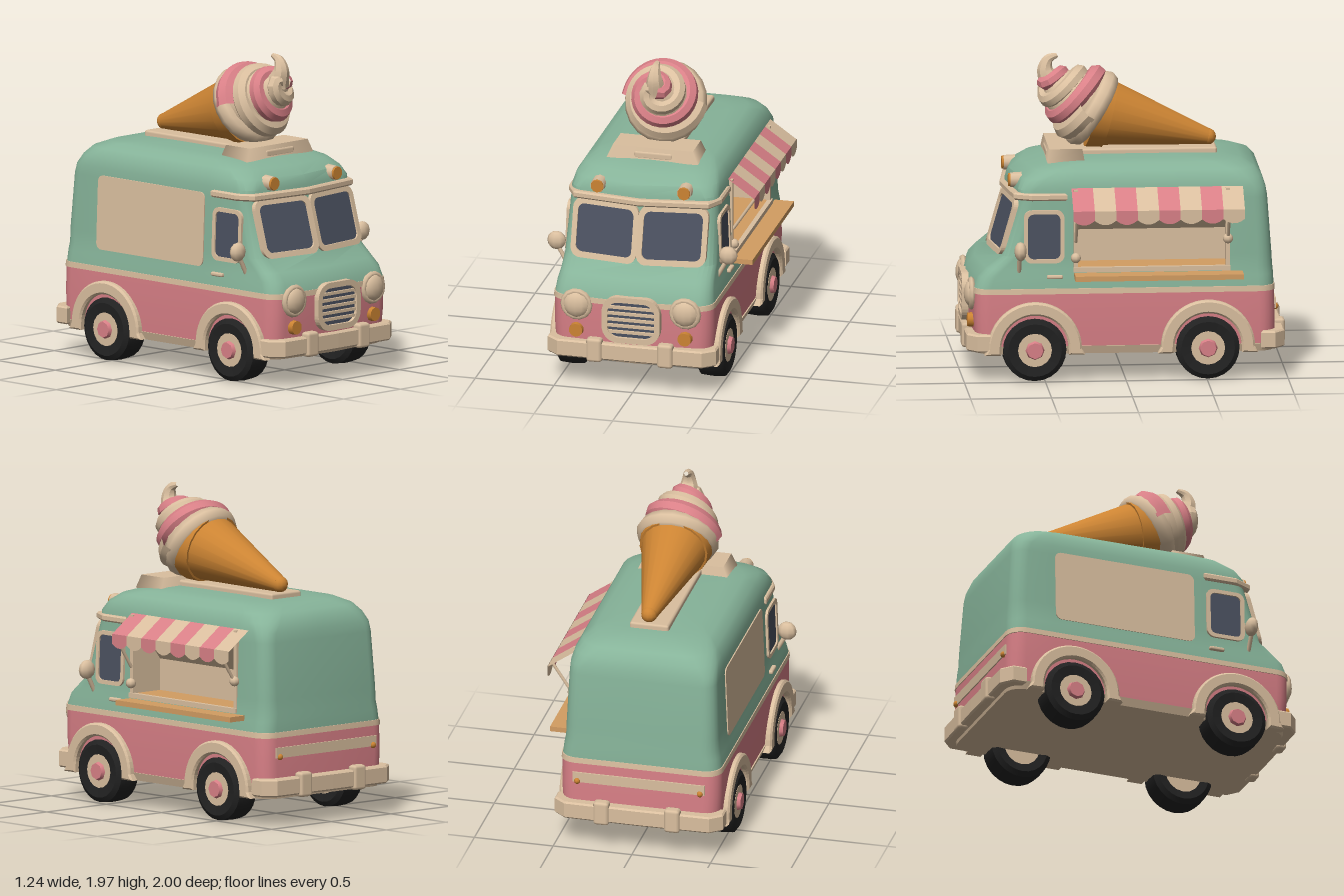
import * as THREE from 'three';
import { toCreasedNormals } from 'three/addons/utils/BufferGeometryUtils.js';
import { RoundedBoxGeometry } from 'three/addons/geometries/RoundedBoxGeometry.js';

const mat = (name, color, side = THREE.FrontSide) => {
  const m = new THREE.MeshStandardMaterial({ color, side });
  m.name = name;
  return m;
};
const mint = mat('mint', 0x86b399), pink = mat('pink', 0xd98087), cream = mat('cream', 0xdabf9f);
const orange = mat('orange', 0xcc8433), wood = mat('wood', 0xd39d62), black = mat('black', 0x222222);
const glass = mat('glass', 0x4b5160);
const creamCloth = mat('creamCloth', 0xdabf9f, THREE.DoubleSide), pinkCloth = mat('pinkCloth', 0xd98087, THREE.DoubleSide);

function add(parent, name, geo, material, x = 0, y = 0, z = 0) {
  const m = new THREE.Mesh(geo, material);
  m.name = name;
  m.position.set(x, y, z);
  parent.add(m);
  return m;
}

// Horizontal outline of the body: slightly pointed nose, round corners, breaks at the hatch edges
const HATCH = { z0: -0.63, z1: 0.31, y0: 0.7, y1: 1.19 };
function outline([y, hw, zb, zf, r, bulge]) {
  const half = [];
  for (let i = 0; i <= 5; i++) {
    const a = Math.PI / 2 * (1 - i / 5);
    half.push([hw - r + r * Math.cos(a), zf - bulge - r + r * Math.sin(a)]);
  }
  for (const z of [HATCH.z1, HATCH.z0]) half.push([hw, THREE.MathUtils.clamp(z, zb + r, zf - bulge - r)]);
  for (let i = 0; i <= 5; i++) {
    const a = -Math.PI / 2 * i / 5;
    half.push([hw - r + r * Math.cos(a), zb + r + r * Math.sin(a)]);
  }
  const loop = [[0, zf], ...half, [0, zb], ...half.slice().reverse().map(([x, z]) => [-x, z])];
  return loop.map(([x, z]) => [x, y, z]);
}

function loft(rows, capBottom, capTop, hatch) {
  const loops = rows.map(outline), pos = [], n = loops[0].length;
  for (let k = 0; k + 1 < rows.length; k++) for (let i = 0; i < n; i++) {
    const inHatch = hatch && i === 7 && rows[k][0] >= HATCH.y0 && rows[k + 1][0] <= HATCH.y1;
    if (inHatch) continue;
    const j = (i + 1) % n, a = loops[k][i], b = loops[k][j], c = loops[k + 1][j], d = loops[k + 1][i];
    pos.push(...a, ...b, ...c, ...a, ...c, ...d);
  }
  const cap = (loop, up) => loop.forEach((p, i) => {
    const q = loop[(i + 1) % n], c = [0, p[1] + (up ? 0.008 : 0), (loop[0][2] + loop[14 + 1][2]) / 2];
    pos.push(...c, ...(up ? p : q), ...(up ? q : p));
  });
  if (capBottom) cap(loops[0], false);
  if (capTop) cap(loops[loops.length - 1], true);
  const g = new THREE.BufferGeometry();
  g.setAttribute('position', new THREE.Float32BufferAttribute(pos, 3));
  return toCreasedNormals(g, 0.6);
}

function roundRect(w, h, r, cx = 0, cy = 0, Kind = THREE.Shape) {
  const s = new Kind(), x = w / 2 - r, y = h / 2 - r;
  s.absarc(cx + x, cy + y, r, 0, Math.PI / 2);
  s.absarc(cx - x, cy + y, r, Math.PI / 2, Math.PI);
  s.absarc(cx - x, cy - y, r, Math.PI, Math.PI * 1.5);
  s.absarc(cx + x, cy - y, r, Math.PI * 1.5, Math.PI * 2);
  s.closePath();
  return s;
}

// Plate or frame in the xy plane, pushed in z by a rule
function plate(shape, depth, rule = () => 0) {
  const g = new THREE.ExtrudeGeometry(shape, { depth, bevelEnabled: false, curveSegments: 4 }), p = g.attributes.position;
  for (let i = 0; i < p.count; i++) p.setZ(i, p.getZ(i) + rule(p.getX(i), p.getY(i)));
  g.computeVertexNormals();
  return g;
}
function frame(w, h, r, t, cx = 0, cy = 0) {
  const s = roundRect(w, h, r, cx, cy);
  s.holes.push(roundRect(w - 2 * t, h - 2 * t, r * 0.7, cx, cy, THREE.Path));
  return s;
}

// Horizontal bar wrapped round the nose or tail, from one half of its plan
function wrapBar(outer, inner, height) {
  const half = [...outer, ...inner], mirrored = pts => pts.slice().reverse().map(([x, z]) => [-x, z]);
  const k = outer.length;
  const pts = [...half.slice(0, k), ...mirrored(outer), ...mirrored(inner), ...inner];
  const s = new THREE.Shape(pts.map(([x, z]) => new THREE.Vector2(x, z)));
  const g = new THREE.ExtrudeGeometry(s, { depth: height - 0.02, bevelThickness: 0.01, bevelSize: 0.01, bevelOffset: -0.01, bevelSegments: 1 });
  return g.rotateX(Math.PI / 2).translate(0, height / 2 - 0.01, 0);
}

function rod(parent, name, a, b, r, material, r2 = r, sides = 8) {
  const A = new THREE.Vector3(...a), B = new THREE.Vector3(...b), d = B.clone().sub(A);
  const m = add(parent, name, new THREE.CylinderGeometry(r2, r, d.length(), sides), material);
  m.position.copy(A).add(B).multiplyScalar(0.5);
  m.quaternion.setFromUnitVectors(new THREE.Vector3(0, 1, 0), d.normalize());
  return m;
}

// Tapering rope along a curve
function taperTube(points, r0, r1) {
  const curve = new THREE.CatmullRomCurve3(points), N = 44, S = 8;
  const g = new THREE.TubeGeometry(curve, N, 1, S), p = g.attributes.position, v = new THREE.Vector3();
  for (let i = 0; i <= N; i++) {
    const c = curve.getPointAt(i / N), r = r0 + (r1 - r0) * i / N;
    for (let j = 0; j <= S; j++) {
      const k = i * (S + 1) + j;
      v.fromBufferAttribute(p, k).sub(c).multiplyScalar(r).add(c);
      p.setXYZ(k, v.x, v.y, v.z);
    }
  }
  return toCreasedNormals(g, 0.5);
}

function buildBody(van) {
  add(van, 'skirt', loft([[0.17, 0.49, -0.92, 0.94, 0.1, 0.03], [0.22, 0.507, -0.93, 0.958, 0.1, 0.03]], true, true), cream);
  add(van, 'lowerBody', loft([[0.2, 0.498, -0.925, 0.95, 0.1, 0.03], [0.4, 0.508, -0.925, 0.965, 0.1, 0.03], [0.55, 0.507, -0.92, 0.965, 0.1, 0.03]]), pink);
  add(van, 'waistStripe', loft([[0.548, 0.512, -0.925, 0.97, 0.1, 0.03], [0.582, 0.51, -0.922, 0.968, 0.1, 0.03]], true, true), cream);
  add(van, 'upperBody', loft([
    [0.58, 0.505, -0.918, 0.965, 0.1, 0.03], [0.65, 0.496, -0.915, 0.945, 0.1, 0.035], [0.7, 0.487, -0.91, 0.9, 0.1, 0.04],
    [0.78, 0.483, -0.905, 0.812, 0.09, 0.05], [1.13, 0.469, -0.88, 0.712, 0.09, 0.05], [1.19, 0.466, -0.87, 0.715, 0.1, 0.05],
    [1.25, 0.452, -0.85, 0.69, 0.14, 0.05], [1.3, 0.42, -0.81, 0.62, 0.16, 0.05], [1.335, 0.36, -0.73, 0.5, 0.18, 0.04],
    [1.35, 0.27, -0.6, 0.36, 0.18, 0.02]], false, true, true), mint);
  add(van, 'brow', wrapBar([[0.487, 0.36], [0.487, 0.58], [0.43, 0.69], [0, 0.745]], [[0.44, 0.36], [0.44, 0.55], [0.4, 0.62], [0, 0.68]], 0.045), cream, 0, 1.15, 0);

  // Bumpers with overriders
  for (const [name, turn] of [['frontBumper', 0], ['rearBumper', Math.PI]]) {
    const g = new THREE.Group();
    g.name = name;
    g.rotation.y = turn;
    add(g, 'bar', wrapBar([[0.535, 0.83], [0.535, 0.92], [0.46, 0.982], [0, 0.988]], [[0.48, 0.83], [0.47, 0.9], [0.42, 0.93], [0, 0.94]], 0.11), cream, 0, 0.245, 0);
    for (const s of [-1, 1]) add(g, 'overrider', new RoundedBoxGeometry(0.1, 0.155, 0.07, 1, 0.02), cream, s * 0.225, 0.25, 0.965);
    van.add(g);
  }

  // Grille
  add(van, 'grilleBacking', plate(roundRect(0.33, 0.26, 0.08), 0.03), glass, 0.01, 0.465, 0.94);
  add(van, 'grilleFrame', plate(frame(0.37, 0.3, 0.1, 0.035), 0.05), cream, 0.01, 0.465, 0.94);
  for (let i = -2; i <= 2; i++) add(van, 'grilleBar', new THREE.BoxGeometry(0.3, 0.018, 0.02), cream, 0.01, 0.465 + i * 0.04, 0.975);

  // Windscreen halves
  const slope = (x, y) => 0.812 - (y - 0.78) * 0.286 - 0.05 * Math.abs(x) / 0.385;
  for (const s of [-1, 1]) {
    add(van, 'windscreenFrame', plate(frame(0.43, 0.355, 0.06, 0.033, s * 0.215, 0.955), 0.03, slope), cream, 0, 0, -0.008);
    add(van, 'windscreenGlass', plate(roundRect(0.38, 0.31, 0.05, s * 0.215, 0.955), 0.008, slope), glass, 0, 0, 0.003);
  }

  for (const s of [-1, 1]) {
    const lean = (x, y) => -0.04 * y;
    const side = (name, shape, depth, material, x, y, z) => {
      add(van, name, plate(shape, depth, lean), material, s * x, y, z).rotation.y = s * Math.PI / 2;
    };
    side('cabWindowFrame', frame(0.25, 0.33, 0.05, 0.025), 0.025, cream, 0.468, 0.905, 0.505);
    side('cabWindowGlass', roundRect(0.22, 0.3, 0.04), 0.009, glass, 0.474, 0.905, 0.505);
    if (s < 0) side('sidePanel', roundRect(0.92, 0.46, 0.04), 0.008, cream, 0.477, 0.915, -0.16);
    add(van, 'doorHandle', new RoundedBoxGeometry(0.03, 0.025, 0.1, 1, 0.01), cream, s * 0.505, 0.655, 0.44);

    // Lamps
    const head = add(van, 'headlamp', new THREE.SphereGeometry(0.085, 12, 8), cream, s * 0.345, 0.53, 0.945);
    head.scale.z = 0.55;
    add(van, 'headlampRim', new THREE.TorusGeometry(0.083, 0.02, 6, 14), cream, s * 0.345, 0.53, 0.945);
    const lamp = (name, r, d, x, y, z, m) => { add(van, name, new THREE.CylinderGeometry(r, r * 1.08, d, 10), m, s * x, y, z).rotation.x = Math.PI / 2; };
    lamp('turnSignal', 0.043, 0.05, 0.345, 0.365, 0.945, orange);
    lamp('roofLampHousing', 0.045, 0.07, 0.275, 1.225, 0.665, cream);
    lamp('roofLamp', 0.04, 0.02, 0.275, 1.225, 0.702, orange);
    add(van, 'tailLamp', new THREE.SphereGeometry(0.02, 8, 6), orange, s * 0.39, 0.43, -0.93);

    // Mirrors
    rod(van, 'mirrorArm', [s * 0.475, 0.68, 0.66], [s * 0.54, 0.8, 0.66], 0.014, cream);
    add(van, 'mirror', new THREE.SphereGeometry(0.06, 9, 6), cream, s * 0.545, 0.825, 0.655).scale.z = 0.65;
  }
  add(van, 'rearPlate', new THREE.BoxGeometry(0.84, 0.065, 0.012), cream, 0, 0.455, -0.926);
}

function buildWheels(van) {
  const profile = [[0.1, -0.08], [0.165, -0.09], [0.195, -0.07], [0.2, 0], [0.195, 0.07], [0.165, 0.09], [0.1, 0.08]];
  const tyre = toCreasedNormals(new THREE.LatheGeometry(profile.map(p => new THREE.Vector2(...p)), 24), 0.5);
  const arch = new THREE.Shape();
  arch.absarc(0, 0.01, 0.29, 0, Math.PI);
  arch.lineTo(-0.31, -0.03);
  arch.lineTo(-0.21, -0.03);
  arch.absarc(0, 0.01, 0.208, Math.PI, 0, true);
  arch.lineTo(0.21, -0.03);
  arch.lineTo(0.31, -0.03);
  const archGeo = new THREE.ExtrudeGeometry(arch, { depth: 0.045, bevelThickness: 0.012, bevelSize: 0.012, bevelOffset: -0.012, bevelSegments: 1, curveSegments: 12 });
  for (const s of [-1, 1]) for (const z of [0.565, -0.505]) {
    const g = new THREE.Group();
    g.name = 'wheel';
    g.position.set(s * 0.447, 0.2, z);
    g.rotation.z = -s * Math.PI / 2;
    add(g, 'tyre', tyre, black);
    add(g, 'rim', new THREE.CylinderGeometry(0.105, 0.115, 0.165, 16), cream);
    add(g, 'hubCap', new THREE.CylinderGeometry(0.05, 0.062, 0.03, 8), pink, 0, 0.09, 0);
    van.add(g);
    add(van, 'wheelArch', archGeo, cream, s * 0.485, 0.2, z).rotation.y = s * Math.PI / 2;
  }
}

function buildHatch(van) {
  // Recess with a sloping ceiling
  const len = HATCH.z1 - HATCH.z0, mid = (HATCH.z0 + HATCH.z1) / 2;
  add(van, 'hatchFloor', new THREE.BoxGeometry(0.25, 0.02, len), wood, 0.36, 0.695, mid);
  add(van, 'hatchBackWall', new THREE.BoxGeometry(0.02, 0.22, len), cream, 0.24, 0.8, mid);
  const slope = Math.hypot(0.225, 0.29);
  add(van, 'hatchCeiling', new THREE.BoxGeometry(slope, 0.01, len), cream, 0.355, 1.045, mid).rotation.z = Math.atan2(0.29, 0.225);
  const end = new THREE.Shape([[0.24, 0.69], [0.482, 0.69], [0.466, 1.19], [0.24, 0.9]].map(p => new THREE.Vector2(...p)));
  for (const z of [HATCH.z0, HATCH.z1]) {
    add(van, 'hatchEnd', new THREE.ShapeGeometry(end), creamCloth, 0, 0, z);
    add(van, 'hatchPost', new THREE.BoxGeometry(0.025, 0.5, 0.025), cream, 0.477, 0.945, z);
    add(van, 'strutKnob', new THREE.SphereGeometry(0.032, 8, 6), cream, 0.495, z > 0 ? 0.77 : 0.88, z);
    rod(van, 'awningStrut', [0.49, 0.87, z], [0.622, 1.07, z], 0.01, cream);
  }
  add(van, 'hatchSill', new THREE.BoxGeometry(0.03, 0.03, len + 0.03), cream, 0.485, 0.695, mid);
  add(van, 'servingShelf', new THREE.BoxGeometry(0.15, 0.032, 1.04), wood, 0.54, 0.66, -0.2);

  // Striped awning with a scalloped valance
  const n = 8, w = 1.06 / n;
  const cloth = new THREE.PlaneGeometry(w, Math.hypot(0.185, 0.13));
  const flap = new THREE.Shape();
  flap.moveTo(-w / 2, 0.06);
  flap.lineTo(-w / 2, 0);
  flap.quadraticCurveTo(0, -0.055, w / 2, 0);
  flap.lineTo(w / 2, 0.06);
  const flapGeo = new THREE.ShapeGeometry(flap, 5);
  for (let i = 0; i < n; i++) {
    const z = 0.335 - w * (i + 0.5), m = i % 2 ? creamCloth : pinkCloth;
    const top = add(van, 'awningStripe', cloth, m, 0.5375, 1.15, z);
    top.rotation.set(-Math.atan2(0.185, 0.13), Math.PI / 2, 0, 'YXZ');
    add(van, 'awningFlap', flapGeo, m, 0.631, 1.028, z).rotation.y = Math.PI / 2;
  }
}

function buildCone(van) {
  const g = new THREE.Group();
  g.name = 'iceCream';
  g.position.x = 0.03;
  van.add(g);
  // Roof stand
  add(g, 'standStrip', new RoundedBoxGeometry(0.25, 0.05, 1.06, 1, 0.015), cream, -0.01, 1.36, -0.06);
  const block = add(g, 'standBlock', new THREE.CylinderGeometry(0.36, 0.41, 0.08, 4, 1).rotateY(Math.PI / 4), cream, -0.015, 1.37, 0.355);
  block.scale.z = 0.4;

  // Wafer cone lying along the roof
  rod(g, 'cone', [0, 1.43, -0.54], [0, 1.605, 0.15], 0.05, orange, 0.222, 20);
  add(g, 'coneTip', new THREE.SphereGeometry(0.051, 12, 8), orange, 0, 1.43, -0.54);
  rod(g, 'coneRim', [0, 1.585, 0.07], [0, 1.61, 0.17], 0.215, orange, 0.235, 20);

  // Two-tone swirl on a tilted axis
  const swirl = new THREE.Group();
  swirl.name = 'swirl';
  swirl.position.set(0, 1.6, 0.15);
  swirl.rotation.x = Math.atan2(0.85, 0.53);
  g.add(swirl);
  const core = [[0, -0.03], [0.2, 0], [0.21, 0.1], [0.17, 0.22], [0.1, 0.32], [0, 0.38]];
  add(swirl, 'core', new THREE.LatheGeometry(core.map(p => new THREE.Vector2(...p)), 16), cream);
  add(swirl, 'baseRoll', new THREE.TorusGeometry(0.195, 0.065, 8, 20).rotateX(Math.PI / 2), cream, 0, 0.035, 0);
  for (const [name, phase, m] of [['creamRoll', 0, cream], ['pinkRoll', Math.PI, pink]]) {
    const pts = [];
    for (let i = 0; i <= 28; i++) {
      const t = i / 28, a = phase + t * Math.PI * 3.2, r = 0.195 * Math.pow(1 - t, 0.65) + 0.015;
      pts.push(new THREE.Vector3(r * Math.cos(a), 0.07 + 0.31 * t, r * Math.sin(a)));
    }
    add(swirl, name, taperTube(pts, 0.068, 0.045), m);
  }
  const hook = [[0, 1.78, 0.43], [0, 1.87, 0.465], [0, 1.93, 0.445], [0, 1.955, 0.39]];
  add(g, 'curledTip', taperTube(hook.map(p => new THREE.Vector3(...p)), 0.075, 0.014), cream);
}

export function createModel() {
  const model = new THREE.Group();
  model.name = 'iceCreamVan';
  const van = new THREE.Group();
  van.name = 'van';
  van.position.x = -0.025;
  model.add(van);
  buildBody(van);
  buildWheels(van);
  buildHatch(van);
  buildCone(van);
  return model;
}
